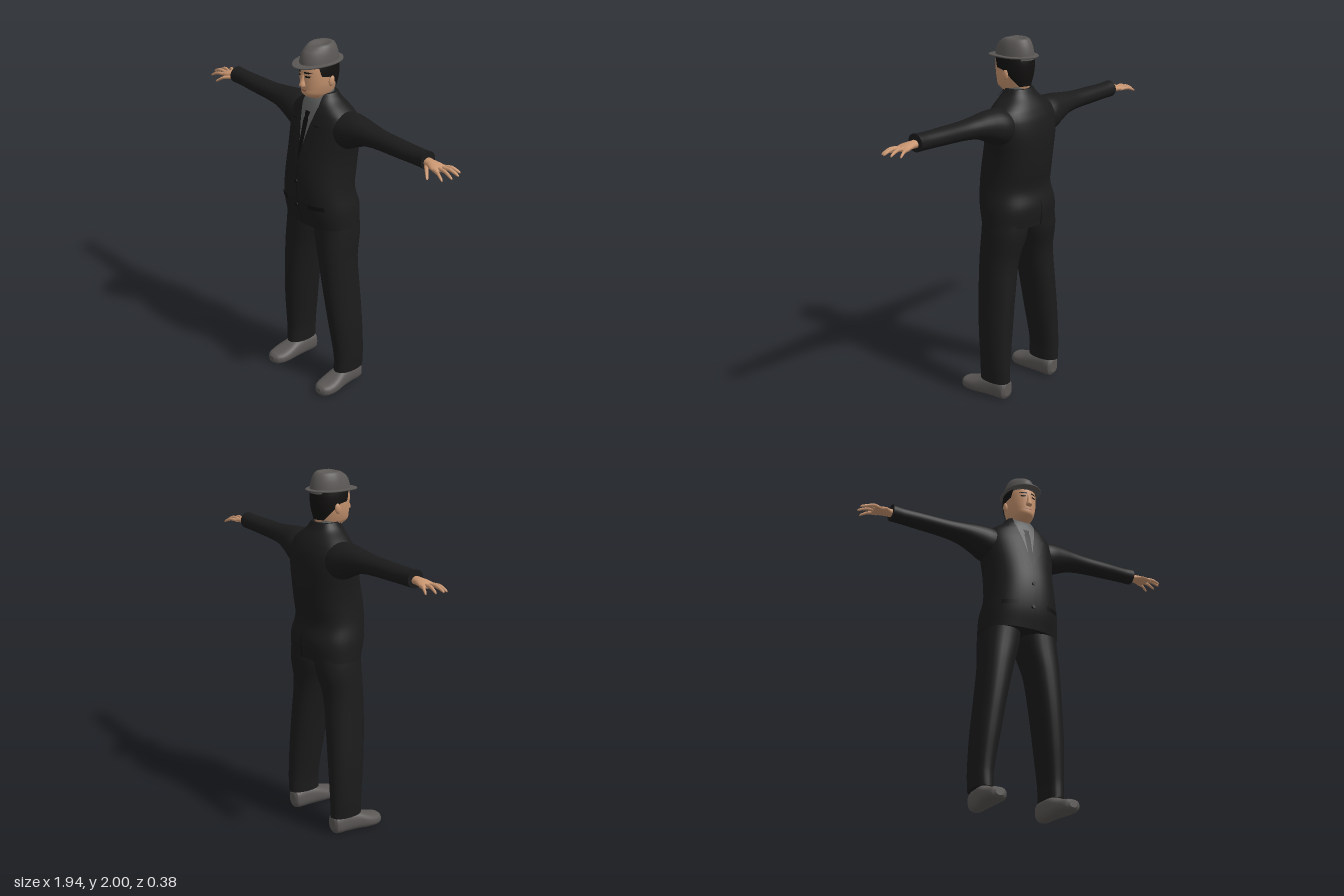
import * as THREE from 'three';

// Sections are [u, c1, c2, r1, r2]: position along an axis, ring centre and ring radii.
// Axis y: c1 = x, c2 = z. Axis x: c1 = z, c2 = y. Axis z: c1 = y, c2 = x.
function sectionAt(secs, u) {
  let i = 0;
  while (i < secs.length - 2 && u > secs[i + 1][0]) i++;
  const p1 = secs[i], p2 = secs[i + 1];
  const p0 = secs[Math.max(i - 1, 0)], p3 = secs[Math.min(i + 2, secs.length - 1)];
  const d = p2[0] - p1[0], t = (u - p1[0]) / d, t2 = t * t, t3 = t2 * t;
  return p1.map((a, k) => {
    if (k === 0) return u;
    const m1 = (p2[k] - p0[k]) / (p2[0] - p0[0]) * d, m2 = (p3[k] - p1[k]) / (p3[0] - p1[0]) * d;
    return (2 * t3 - 3 * t2 + 1) * a + (t3 - 2 * t2 + t) * m1 + (3 * t2 - 2 * t3) * p2[k] + (t3 - t2) * m2;
  });
}

// Point on a rounded ring; angle 0 points along c2, n sets how square it is
function ringPoint([u, c1, c2, r1, r2], a, n, axis, off = 0) {
  const pw = (v) => Math.sign(v) * Math.abs(v) ** (2 / n);
  const p = [0, 0, 0];
  p[axis] = u;
  p[(axis + 2) % 3] = c1 + (r1 + off) * pw(Math.sin(a));
  p[(axis + 1) % 3] = c2 + (r2 + off) * pw(Math.cos(a));
  return p;
}

function finish(pos, idx) {
  const g = new THREE.BufferGeometry();
  g.setAttribute('position', new THREE.Float32BufferAttribute(pos, 3));
  g.setIndex(idx);
  g.computeVertexNormals();
  return g;
}

// Closed skin through the sections, with flat end caps
function loft(secs, { axis = 1, n = 2, sides = 28, sub = 5, rule = null } = {}) {
  const rings = [];
  for (let i = 0; i < secs.length - 1; i++)
    for (let j = 0; j < sub; j++)
      rings.push(sub === 1 ? secs[i] : sectionAt(secs, secs[i][0] + (secs[i + 1][0] - secs[i][0]) * j / sub));
  rings.push(secs[secs.length - 1]);
  const pos = [], idx = [];
  const put = (p) => { if (rule) rule(p); pos.push(...p); };
  const addRing = (s) => { for (let k = 0; k < sides; k++) put(ringPoint(s, k / sides * Math.PI * 2, n, axis)); };
  rings.forEach(addRing);
  for (let r = 0; r < rings.length - 1; r++)
    for (let k = 0; k < sides; k++) {
      const a = r * sides + k, b = r * sides + (k + 1) % sides;
      idx.push(a, b, b + sides, a, b + sides, a + sides);
    }
  [rings[0], rings[rings.length - 1]].forEach((s, end) => {
    const base = pos.length / 3;
    addRing(s);
    put(ringPoint([s[0], s[1], s[2], 0, 0], 0, n, axis));
    for (let k = 0; k < sides; k++) {
      const a = base + k, b = base + (k + 1) % sides;
      idx.push(base + sides, end ? a : b, end ? b : a);
    }
  });
  return finish(pos, idx);
}

// Thin panel lying on a vertical loft; rows are [y, from, to], as x positions or as angles
function patch(secs, n, rows, off, angles = false, cols = 10, sub = 4) {
  const pos = [], idx = [];
  const count = (rows.length - 1) * sub;
  for (let r = 0; r <= count; r++) {
    const i = Math.min(Math.floor(r / sub), rows.length - 2), t = r / sub - i;
    const [y, from, to] = rows[i].map((v, k) => v + (rows[i + 1][k] - v) * t);
    const s = sectionAt(secs, y);
    for (let c = 0; c <= cols; c++) {
      const v = from + (to - from) * c / cols;
      const q = Math.min(Math.abs(v / (s[3] + off)), 1);
      pos.push(...ringPoint(s, angles ? v : Math.sign(v) * Math.asin(q ** (n / 2)), n, 1, off));
    }
  }
  const w = cols + 1;
  for (let r = 0; r < count; r++)
    for (let c = 0; c < cols; c++) {
      const a = r * w + c;
      idx.push(a, a + 1, a + w + 1, a, a + w + 1, a + w);
    }
  return finish(pos, idx);
}

function mirrored(geo) {
  const g = geo.clone().scale(-1, 1, 1), ix = g.index.array;
  for (let i = 0; i < ix.length; i += 3) [ix[i], ix[i + 1]] = [ix[i + 1], ix[i]];
  return g;
}

export function createModel() {
  const model = new THREE.Group();
  model.name = 'suitedMan';
  const mat = (name, color) => Object.assign(new THREE.MeshStandardMaterial({ color }), { name });
  const suit = mat('black suit cloth', 0x1b1b1c), dark = mat('dark trim', 0x101011);
  const felt = mat('grey felt and leather', 0x5a5755), shirtGrey = mat('grey shirt', 0x5e5f5f);
  const skin = mat('skin', 0xc89570), hairBlack = mat('black hair', 0x121110), lip = mat('lips', 0x9c6650);
  const add = (name, geo, m) => {
    const mesh = new THREE.Mesh(geo, m);
    mesh.name = name;
    model.add(mesh);
  };
  const pair = (name, geo, m) => {
    add('left' + name, geo, m);
    add('right' + name, mirrored(geo), m);
  };

  // Jacket body
  const torso = [
    [1.0, 0, -.025, .23, .155], [1.1, 0, -.016, .224, .172], [1.2, 0, 0, .206, .165], [1.3, 0, -.01, .198, .17],
    [1.4, 0, -.025, .2, .165], [1.5, 0, -.038, .212, .153], [1.58, 0, -.042, .215, .136], [1.63, 0, -.04, .195, .118],
    [1.66, 0, -.036, .16, .105], [1.7, 0, -.03, .105, .083], [1.735, 0, -.032, .078, .062]];
  add('jacket', loft(torso, { n: 2.3, sides: 40 }), suit);

  // Shirt front, tie, lapels and jacket details
  const onTorso = (rows, off) => patch(torso, 2.3, rows, off);
  add('shirtFront', onTorso([[1.38, -.002, .002], [1.5, -.022, .022], [1.6, -.046, .046], [1.68, -.066, .066], [1.73, -.06, .06]], .003), shirtGrey);
  add('tie', onTorso([[1.38, -.002, .002], [1.46, -.014, .014], [1.6, -.018, .018], [1.61, -.013, .013], [1.64, -.02, .02]], .006), dark);
  pair('Lapel', onTorso([[1.36, 0, .004], [1.5, .022, .075], [1.58, .04, .105], [1.6, .046, .085], [1.68, .066, .095], [1.73, .06, .08]], .008), suit);
  pair('LapelNotch', onTorso([[1.578, .07, .105], [1.584, .07, .105]], .0095), dark);
  pair('Pocket', onTorso([[1.12, .09, .175], [1.145, .085, .172]], .005), dark);
  add('frontOpening', onTorso([[1.0, .014, .018], [1.36, 0, .004]], .003), dark);
  for (const y of [1.12, 1.26]) {
    const s = sectionAt(torso, y);
    add('button', new THREE.CylinderGeometry(.011, .011, .008, 12).rotateX(Math.PI / 2).translate(0, y, s[2] + s[4] + .003), dark);
  }
  add('backVent', patch(torso, 2.3, [[1.0, Math.PI - .012, Math.PI + .012], [1.14, Math.PI - .004, Math.PI + .004]], .003, true), dark);

  // Shirt collar, tipped down towards the front
  add('shirtCollar', loft([[1.67, 0, -.02, .072, .068], [1.71, 0, -.022, .067, .062], [1.74, 0, -.022, .062, .057]],
    { rule: (p) => { p[1] -= .25 * (p[2] + .03); } }), shirtGrey);

  // Sleeves and cuffs
  pair('Sleeve', loft([
    [.1, -.045, 1.56, .09, .075], [.19, -.045, 1.557, .1, .1], [.27, -.042, 1.573, .085, .083], [.35, -.04, 1.584, .07, .062],
    [.45, -.037, 1.586, .058, .051], [.6, -.036, 1.588, .053, .047], [.72, -.037, 1.59, .047, .045], [.78, -.036, 1.592, .048, .047]],
  { axis: 0 }), suit);

  // Hands
  pair('Palm', loft([
    [.75, -.035, 1.588, .027, .022], [.8, -.032, 1.586, .029, .02], [.84, -.03, 1.583, .041, .017],
    [.87, -.031, 1.579, .041, .012], [.885, -.031, 1.577, .034, .006]], { axis: 0, sides: 18 }), skin);
  const fingers = [
    [.85, -.062, 1.578, .94, -.1, 1.562], [.86, -.042, 1.582, .968, -.06, 1.566],
    [.86, -.021, 1.582, .97, -.012, 1.565], [.85, .0, 1.578, .945, .028, 1.556], [.79, -.012, 1.575, .868, .052, 1.545]];
  fingers.forEach(([x0, z0, y0, x1, z1, y1], i) => {
    const secs = [[0, .009], [.5, .0095], [.85, .0075], [.96, .005], [1, .001]].map(([t, r]) =>
      [x0 + (x1 - x0) * t, z0 + (z1 - z0) * t, y0 + (y1 - y0) * t + .012 * Math.sin(t * Math.PI), i === 4 ? r * 1.4 : r, r]);
    pair(i === 4 ? 'Thumb' : 'Finger', loft(secs, { axis: 0, sides: 10, sub: 2 }), skin);
  });

  // Trouser legs
  pair('TrouserLeg', loft([
    [.1, .21, -.036, .055, .095], [.2, .21, -.037, .06, .095], [.4, .193, -.026, .073, .105], [.6, .17, -.016, .081, .112],
    [.8, .143, -.011, .094, .115], [.95, .118, -.026, .111, .13], [1.06, .11, -.025, .105, .13]], { n: 2.2 }), suit);

  // Shoes, flat underneath
  pair('Shoe', loft([
    [-.122, .055, .2, .035, .03], [-.11, .054, .2, .054, .045], [-.04, .055, .202, .06, .048], [.03, .05, .206, .056, .056],
    [.09, .038, .211, .044, .064], [.14, .03, .213, .036, .06], [.175, .028, .214, .03, .044], [.19, .028, .214, .018, .022]],
  { axis: 2, n: 2.5, rule: (p) => { p[1] = Math.max(p[1], 0); } }), felt);

  // Head and neck
  const head = [
    [1.65, 0, -.022, .055, .05], [1.7, 0, -.018, .055, .056], [1.72, 0, .004, .053, .078], [1.74, 0, .011, .063, .096],
    [1.77, 0, .01, .074, .1], [1.8, 0, .007, .081, .105], [1.84, 0, .005, .085, .109], [1.88, 0, .004, .085, .109], [1.92, 0, .002, .08, .1]];
  const onHead = (rows, off, angles = false) => patch(head, 2.1, rows, off, angles, angles ? 24 : 8);
  add('head', loft(head, { n: 2.1, sides: 36 }), skin);
  add('nose', loft([[1.782, 0, .11, .012, .01], [1.79, 0, .114, .018, .02], [1.82, 0, .112, .011, .014], [1.855, 0, .11, .008, .006]], { sides: 16 }), skin);
  add('mouth', onHead([[1.759, -.018, .018], [1.767, -.024, .024]], .002), lip);
  pair('Eye', onHead([[1.838, .022, .042], [1.848, .018, .048]], .002), dark);
  pair('Eyebrow', onHead([[1.86, .012, .04], [1.869, .014, .058]], .003), hairBlack);
  pair('Ear', new THREE.SphereGeometry(1, 14, 10).scale(.011, .029, .018).rotateX(-.15).translate(.087, 1.812, -.008), skin);

  // Hair around the sides and back
  const hairline = [[1.75, 2.45], [1.785, 2.1], [1.81, 1.85], [1.838, 1.55], [1.845, 1.15], [1.905, .95]];
  add('hair', onHead(hairline.map(([y, a]) => [y, a, Math.PI * 2 - a]), .006, true), hairBlack);

  // Hat brim, turned up slightly at the sides and back
  add('hatBrim', loft([
    [1.89, 0, .004, .08, .105], [1.892, 0, .012, .103, .149], [1.896, 0, .012, .106, .152], [1.9, 0, .012, .103, .149], [1.904, 0, .004, .084, .115]],
  { sub: 1, sides: 40, rule: (p) => { p[1] += .9 * p[0] * p[0] + (p[2] < 0 ? .6 * p[2] * p[2] : 0); } }), felt);
  // Hat crown, pinched towards the front with a dented top
  add('hatCrown', loft([
    [1.89, 0, .003, .086, .118], [1.92, 0, .003, .084, .116], [1.95, 0, .002, .079, .109], [1.975, 0, 0, .072, .098],
    [1.992, 0, -.004, .062, .084], [1.999, 0, -.006, .051, .07], [1.996, 0, -.007, .04, .055], [1.986, 0, -.008, .022, .034], [1.983, 0, -.008, .004, .006]],
  { sub: 1, sides: 40, rule: (p) => {
    if (p[2] > 0) p[0] *= 1 - 2.2 * p[2] * Math.max(0, (p[1] - 1.9) / .1);
    if (p[1] > 1.96) p[1] -= Math.max(0, p[2] - .03) * .25 * (p[1] - 1.96) / .04;
  } }), felt);
  return model;
}
